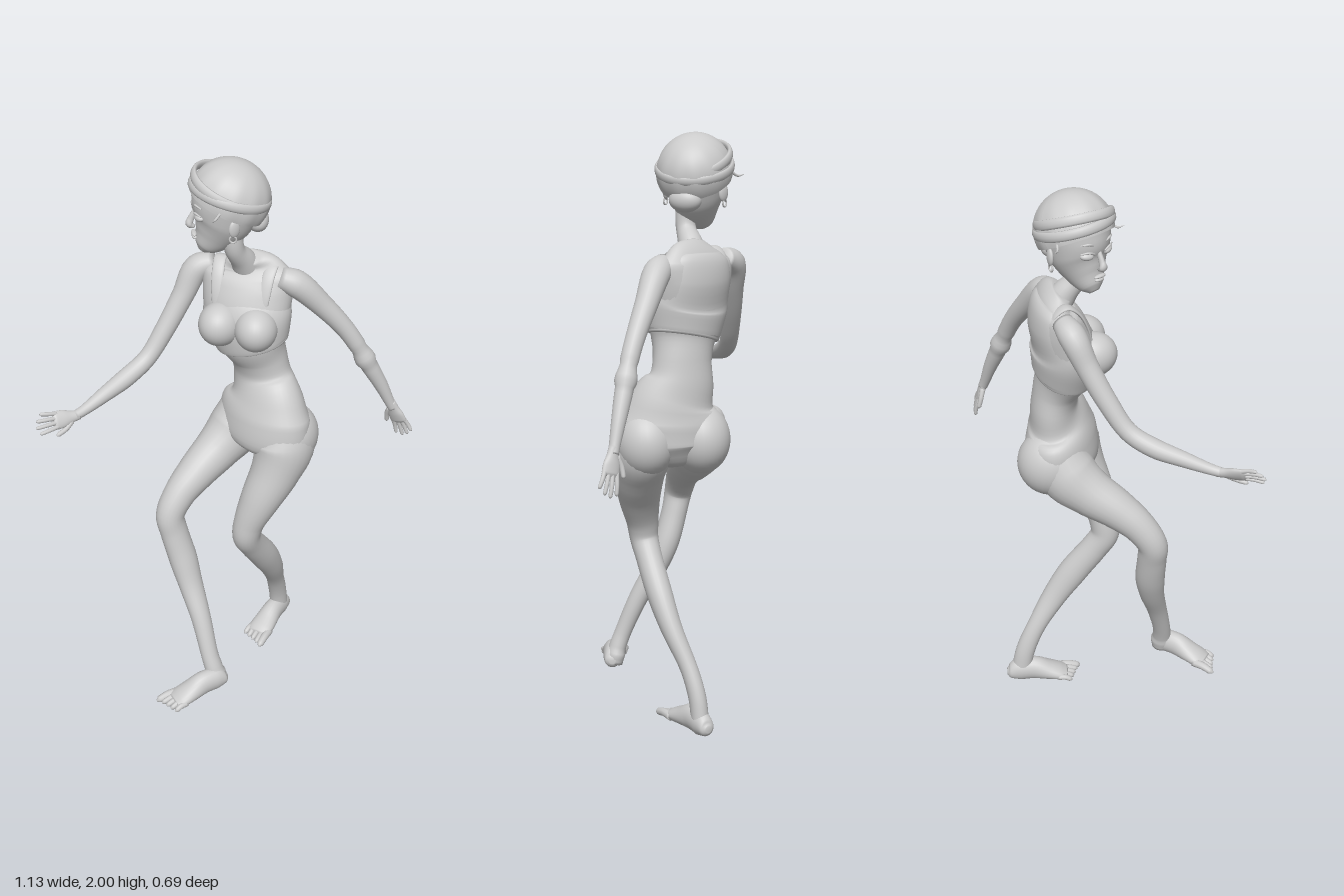
import * as THREE from 'three';

const V = (x, y, z) => new THREE.Vector3(x, y, z);
const mat = new THREE.MeshStandardMaterial({ color: 0xcccccc, side: THREE.DoubleSide });

function add(parent, name, geo, pos = [0, 0, 0], scale = [1, 1, 1], rot = [0, 0, 0]) {
  const m = new THREE.Mesh(geo, mat);
  m.name = name;
  m.position.set(...pos);
  m.scale.set(...scale);
  m.rotation.set(...rot);
  parent.add(m);
  return m;
}
const ball = (parent, name, pos, radii, rot) =>
  add(parent, name, new THREE.SphereGeometry(1, 32, 24), pos, radii, rot);

// Smooth skin through elliptical stations [x, y, z, a, b, yaw]; a lies along ref, b across it
function loft(stations, ref = null, sides = 24, steps = 5) {
  const path = new THREE.CatmullRomCurve3(stations.map(s => V(s[0], s[1], s[2])));
  const size = new THREE.CatmullRomCurve3(stations.map(s => V(s[3], s[4] ?? s[3], s[5] ?? 0)));
  const n = (stations.length - 1) * steps, pos = [], idx = [];
  for (let i = 0; i <= n; i++) {
    const c = path.getPoint(i / n), r = size.getPoint(i / n), t = path.getTangent(i / n);
    const u = ref ? ref.clone() : V(-Math.cos(r.z), 0, Math.sin(r.z));
    u.addScaledVector(t, -u.dot(t)).normalize();
    const v = t.clone().cross(u);
    for (let j = 0; j < sides; j++) {
      const q = j / sides * Math.PI * 2;
      const p = c.clone().addScaledVector(u, r.x * Math.cos(q)).addScaledVector(v, r.y * Math.sin(q));
      pos.push(p.x, p.y, p.z);
    }
  }
  for (let i = 0; i < n; i++) for (let j = 0; j < sides; j++) {
    const a = i * sides + j, b = i * sides + (j + 1) % sides;
    idx.push(a, b, b + sides, a, b + sides, a + sides);
  }
  // End caps
  [[0, 0], [1, n * sides]].forEach(([t, o]) => {
    const c = path.getPoint(t), k = pos.length / 3;
    pos.push(c.x, c.y, c.z);
    for (let j = 0; j < sides; j++) {
      const a = o + j, b = o + (j + 1) % sides;
      t ? idx.push(k, a, b) : idx.push(k, b, a);
    }
  });
  const g = new THREE.BufferGeometry();
  g.setAttribute('position', new THREE.Float32BufferAttribute(pos, 3));
  g.setIndex(idx);
  g.computeVertexNormals();
  return g;
}

// Finger or toe through points, rounded at the tip
function digit(parent, name, pts, r) {
  const st = pts.map((p, i) => [p.x, p.y, p.z, r * (1 - 0.1 * i)]);
  const end = pts.at(-1).clone().addScaledVector(pts.at(-1).clone().sub(pts.at(-2)).normalize(), r * 0.8);
  st.push([end.x, end.y, end.z, r * 0.25]);
  add(parent, name, loft(st, V(0.13, 0.6, 0.79), 10, 4));
}

// Hand with a flat palm; side points to the thumb
function hand(parent, name, wrist, dir, side) {
  const g = new THREE.Group();
  g.name = name;
  parent.add(g);
  dir.normalize();
  side.addScaledVector(dir, -side.dot(dir)).normalize();
  const nrm = dir.clone().cross(side);
  const at = (d, s, h = 0) => wrist.clone().addScaledVector(dir, d).addScaledVector(side, s).addScaledVector(nrm, h);
  const palm = [[-0.015, 0.016, 0.016], [0.015, 0.021, 0.014], [0.045, 0.03, 0.013], [0.07, 0.031, 0.011], [0.08, 0.02, 0.006]];
  add(g, 'palm', loft(palm.map(([d, a, b]) => [...at(d, 0).toArray(), a, b]), side));
  [-1.5, -0.5, 0.5, 1.5].forEach((k, i) => {
    const len = [0.05, 0.066, 0.072, 0.062][i];
    digit(g, 'finger', [at(0.062, k * 0.014), at(0.07 + len * 0.5, k * 0.018, 0.003), at(0.068 + len, k * 0.021)], 0.0078);
  });
  digit(g, 'thumb', [at(0.015, 0.015), at(0.042, 0.036), at(0.072, 0.048)], 0.0095);
}

// Foot from heel to ball, with five toes; big says which side holds the big toe
function foot(parent, name, heel, toe, big) {
  const g = new THREE.Group();
  g.name = name;
  parent.add(g);
  const dir = toe.clone().sub(heel), side = dir.clone().cross(V(0, 1, 0)).normalize().multiplyScalar(big);
  const at = (f, s, h) => heel.clone().addScaledVector(dir, f).addScaledVector(side, s).add(V(0, h, 0));
  const body = [[-0.2, 0.002, 0.012, 0.012], [-0.13, 0.002, 0.028, 0.027], [0.08, 0.01, 0.045, 0.034], [0.38, 0.014, 0.045, 0.036],
    [0.7, 0.002, 0.034, 0.043], [0.95, -0.007, 0.024, 0.046], [1.1, -0.012, 0.015, 0.038]];
  add(g, 'footBody', loft(body.map(([f, h, a, b]) => [...at(f, 0, h).toArray(), a, b]), V(0, 1, 0)));
  for (let i = 0; i < 5; i++) {
    const s = 0.033 - i * 0.0175, tip = 1.33 - 0.045 * i, r = i ? 0.0115 : 0.016;
    digit(g, 'toe', [at(0.9, s, -0.01), at((0.95 + tip) / 2, s * 1.1, -0.008), at(tip, s * 1.15, -0.015)], r);
  }
}

function buildHead(root) {
  const head = new THREE.Group();
  head.name = 'head';
  head.position.set(0.085, 1.873, -0.1);
  head.rotation.y = Math.atan2(-0.81, -0.59);
  root.add(head);
  add(head, 'face', loft([[0, -0.184, 0.088, 0.016, 0.016], [0, -0.168, 0.076, 0.042, 0.038], [0, -0.13, 0.047, 0.072, 0.062],
    [0, -0.08, 0.02, 0.1, 0.09], [0, -0.02, 0.006, 0.115, 0.103], [0, 0.04, 0, 0.115, 0.108], [0, 0.09, 0, 0.08, 0.08],
    [0, 0.115, 0, 0.02, 0.02]], V(0, 0, 1), 32));
  add(head, 'nose', loft([[0, -0.04, 0.108, 0.008, 0.008], [0, -0.07, 0.122, 0.011, 0.009], [0, -0.088, 0.128, 0.012, 0.014],
    [0, -0.1, 0.112, 0.006, 0.008]], V(0, 0, 1), 14));
  ball(head, 'upperLip', [0, -0.122, 0.113], [0.023, 0.006, 0.009]);
  ball(head, 'lowerLip', [0, -0.134, 0.111], [0.018, 0.007, 0.009]);
  for (const s of [-1, 1]) {
    ball(head, 'eye', [s * 0.043, -0.047, 0.1], [0.022, 0.012, 0.014], [0, s * 0.4, s * 0.12]);
    const arc = (y, z) => [[s * 0.02, y - 0.006, z, 0.003], [s * 0.042, y + 0.005, z, 0.004], [s * 0.066, y + 0.002, z - 0.016, 0.002]];
    add(head, 'eyelashes', loft(arc(-0.036, 0.113), V(0, 1, 0), 8));
    add(head, 'eyebrow', loft(arc(-0.008, 0.112), V(0, 1, 0), 8));
    ball(head, 'ear', [s * 0.1, -0.065, -0.005], [0.01, 0.03, 0.02], [0, s * 0.4, 0]);
    add(head, 'earring', new THREE.TorusGeometry(0.011, 0.003, 8, 20), [s * 0.103, -0.1, 0], [1, 1, 1], [0, 1.4, 0]);
  }
  // Hair cap with swept strands
  const cap = new THREE.SphereGeometry(1, 72, 32, 0, Math.PI * 2, 0, 1.82), p = cap.attributes.position;
  for (let i = 0; i < p.count; i++) {
    const q = Math.atan2(p.getZ(i), p.getX(i)), d = 1 + 0.008 * Math.sin(q * 12) * (1 - p.getY(i) ** 2);
    p.setXYZ(i, p.getX(i) * d, p.getY(i), p.getZ(i) * d);
  }
  cap.computeVertexNormals();
  add(head, 'hair', cap, [0, 0, -0.005], [0.124, 0.126, 0.133], [-0.45, 0, 0]);
  // Two overlapping headbands
  [[0.015, -0.3, 0.06], [0.035, -0.4, -0.1]].forEach(([y, tilt, roll], i) => {
    const ring = new THREE.TorusGeometry(1, 0.07, 10, 56);
    ring.rotateX(Math.PI / 2).scale(0.122 - i * 0.004, 0.24, 0.13 - i * 0.004);
    add(head, 'headband', ring, [0, y, -0.004], [1, 1, 1], [tilt, 0, roll]);
  });
  ball(head, 'hairBun', [0, -0.085, -0.092], [0.055, 0.04, 0.038]);
  for (const s of [-1, 1]) add(head, 'hairWisp', loft([[s * 0.11, 0.0, 0.04, 0.005], [s * 0.127, -0.015, 0.06, 0.004],
    [s * 0.145, -0.01, 0.07, 0.001]], V(0, 1, 0), 6));
}

export function createModel() {
  const root = new THREE.Group();
  root.name = 'walkingWoman';
  buildHead(root);

  // Torso twists from hips to shoulders
  add(root, 'torso', loft([[0.16, 0.915, 0, 0.04, 0.05], [0.163, 0.945, 0, 0.09, 0.12], [0.16, 1.0, 0.003, 0.123, 0.185],
    [0.165, 1.07, 0, 0.117, 0.183], [0.172, 1.13, -0.005, 0.1, 0.15], [0.178, 1.2, -0.028, 0.08, 0.114, 0.1],
    [0.166, 1.27, -0.036, 0.08, 0.103, 0.25], [0.14, 1.35, -0.047, 0.094, 0.124, 0.45], [0.136, 1.45, -0.065, 0.1, 0.148, 0.5],
    [0.15, 1.53, -0.076, 0.088, 0.155, 0.5], [0.157, 1.585, -0.08, 0.068, 0.156, 0.5], [0.153, 1.618, -0.08, 0.046, 0.115, 0.5],
    [0.135, 1.643, -0.077, 0.032, 0.055, 0.4]], null, 40));
  add(root, 'neck', loft([[0.155, 1.59, -0.08, 0.05], [0.125, 1.64, -0.075, 0.042], [0.085, 1.69, -0.07, 0.033],
    [0.075, 1.74, -0.072, 0.034], [0.08, 1.82, -0.085, 0.04]]));
  for (const s of [-1, 1]) ball(root, 'buttock', [0.182, 1.0, s * 0.094], [0.112, 0.118, 0.1], [0, 0, 0.15]);

  // Cropped top: full at the back, low at the front, cut in at the arms
  add(root, 'top', loft([[0.144, 1.338, -0.046, 0.099, 0.129, 0.43], [0.14, 1.355, -0.049, 0.104, 0.134, 0.45],
    [0.137, 1.45, -0.065, 0.106, 0.152, 0.5], [0.168, 1.53, -0.086, 0.075, 0.135, 0.5], [0.175, 1.59, -0.09, 0.054, 0.12, 0.5],
    [0.17, 1.615, -0.089, 0.036, 0.095, 0.5]], null, 40));
  const chest = new THREE.Group();
  chest.name = 'chest';
  chest.position.set(0.15, 0, -0.08);
  chest.rotation.y = Math.atan2(-0.88, 0.48);
  root.add(chest);
  for (const s of [-1, 1]) {
    ball(chest, 'bust', [s * 0.061, 1.427, 0.096], [0.072, 0.076, 0.084], [-0.2, s * 0.2, 0]);
    add(chest, 'strap', loft([[0.066, 1.45, 0.095], [0.08, 1.54, 0.074], [0.086, 1.6, 0.043], [0.09, 1.627, 0.004],
      [0.088, 1.605, -0.035], [0.082, 1.56, -0.055]].map(([x, y, z]) => [s * x, y, z, 0.021, 0.006]), V(1, 0, 0), 14));
  }

  // Arms: left swings back, right reaches forward
  add(root, 'leftArm', loft([[0.19, 1.59, 0.03, 0.035], [0.232, 1.565, 0.068, 0.046], [0.3, 1.48, 0.12, 0.038],
    [0.36, 1.39, 0.17, 0.032], [0.395, 1.32, 0.2, 0.03], [0.43, 1.24, 0.225, 0.03], [0.47, 1.15, 0.253, 0.024],
    [0.498, 1.075, 0.274, 0.018], [0.508, 1.05, 0.281, 0.017]], V(0, 0, 1)));
  hand(root, 'leftHand', V(0.506, 1.06, 0.28), V(0.045, -0.13, 0.03), V(-0.35, 0.1, -0.95));
  add(root, 'rightArm', loft([[0.11, 1.59, -0.19, 0.035], [0.068, 1.565, -0.235, 0.045], [0.02, 1.475, -0.252, 0.038],
    [-0.05, 1.36, -0.27, 0.034], [-0.12, 1.268, -0.285, 0.031], [-0.2, 1.225, -0.295, 0.032], [-0.3, 1.195, -0.3, 0.026],
    [-0.39, 1.17, -0.304, 0.018], [-0.425, 1.164, -0.307, 0.016]], V(0, 0, 1)));
  hand(root, 'rightHand', V(-0.425, 1.164, -0.307), V(-0.15, 0.015, -0.03), V(0.1, -0.85, 0.5));

  // Legs: bent at the knees, crossing below
  add(root, 'leftLeg', loft([[0.168, 1.13, 0.055, 0.035], [0.166, 1.05, 0.085, 0.09, 0.085], [0.16, 0.97, 0.1, 0.112, 0.1],
    [0.12, 0.88, 0.1, 0.09, 0.086], [0.065, 0.78, 0.085, 0.07, 0.072], [0.027, 0.68, 0.065, 0.054, 0.055],
    [0.022, 0.62, 0.058, 0.051, 0.049], [0.057, 0.56, 0.05, 0.05, 0.045], [0.13, 0.46, 0.035, 0.052, 0.044],
    [0.2, 0.35, 0.01, 0.044, 0.037], [0.268, 0.22, -0.035, 0.034, 0.03], [0.301, 0.13, -0.054, 0.035, 0.03],
    [0.316, 0.05, -0.06, 0.036, 0.03]], V(-1, 0, 0)));
  foot(root, 'leftFoot', V(0.335, 0.035, -0.066), V(0.17, 0.033, -0.02), -1);
  add(root, 'rightLeg', loft([[0.168, 1.13, -0.055, 0.035], [0.162, 1.05, -0.085, 0.09, 0.085], [0.12, 0.965, -0.1, 0.102, 0.094],
    [0.045, 0.905, -0.11, 0.085, 0.08], [-0.05, 0.85, -0.115, 0.07, 0.068], [-0.13, 0.79, -0.12, 0.058, 0.056],
    [-0.178, 0.72, -0.12, 0.052, 0.049], [-0.175, 0.65, -0.105, 0.051, 0.045], [-0.165, 0.55, -0.075, 0.052, 0.046],
    [-0.165, 0.45, -0.035, 0.045, 0.04], [-0.175, 0.33, 0.03, 0.036, 0.034], [-0.186, 0.2, 0.085, 0.032, 0.03],
    [-0.184, 0.14, 0.108, 0.034, 0.031], [-0.18, 0.09, 0.12, 0.034, 0.031]], V(-1, 0, 0)));
  foot(root, 'rightFoot', V(-0.18, 0.104, 0.125), V(-0.338, 0.086, 0.08), 1);
  return root;
}
